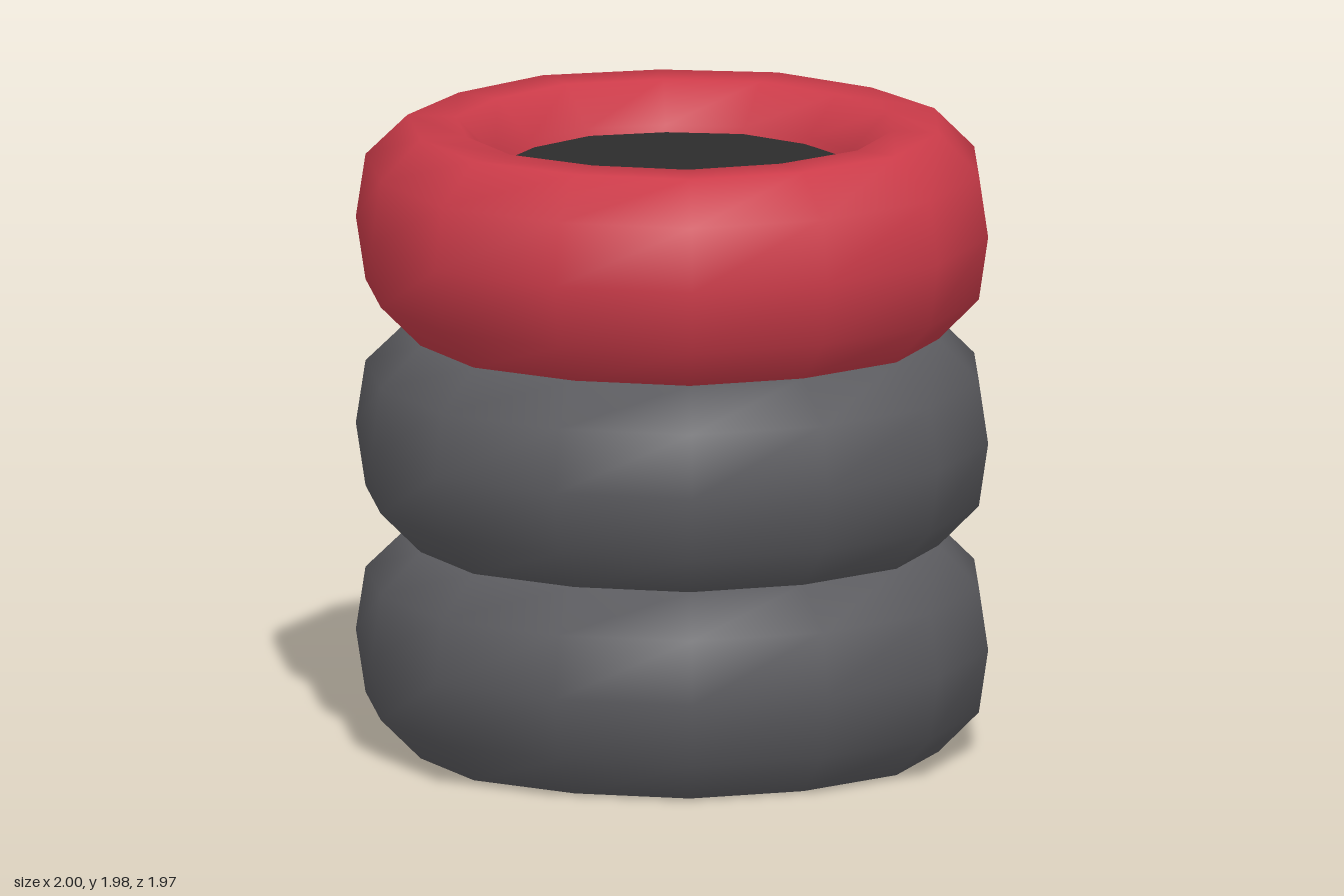
import * as THREE from 'three';

const TIER = 0.66;

// Slightly uneven 14-sided outline, half of it, from +x round to -x (x, z)
const half = [
  [0.996, 0], [0.88, 0.437], [0.612, 0.791], [0.206, 0.962],
  [-0.238, 0.984], [-0.628, 0.774], [-0.925, 0.438], [-1, 0],
];
const ring = [...half, ...half.slice(1, -1).reverse().map(([x, z]) => [x, -z])];

// Tyre section (radius, height): outer foot, tread, crest, inner wall; open below
const section = [
  [0.84, 0], [0.97, 0.13], [1, 0.33], [0.97, 0.53], [0.84, TIER],
  [0.69, TIER], [0.565, 0.54], [0.55, 0.33], [0.555, 0.1],
];

function tyreGeometry() {
  const pos = [], index = [], n = section.length;
  ring.forEach(([x, z], i) => {
    const next = (i + 1) % ring.length;
    section.forEach(([r, y], j) => {
      pos.push(x * r, y, z * r);
      if (j === n - 1) return;
      const a = i * n + j, b = next * n + j;
      index.push(a, a + 1, b, b, a + 1, b + 1);
    });
  });
  const geo = new THREE.BufferGeometry();
  geo.setAttribute('position', new THREE.Float32BufferAttribute(pos, 3));
  geo.setIndex(index);
  geo.computeVertexNormals();
  return geo;
}

function material(name, color) {
  const m = new THREE.MeshStandardMaterial({ color, side: THREE.DoubleSide });
  m.name = name;
  return m;
}

export function createModel() {
  const group = new THREE.Group();
  group.name = 'tyreStack';
  const rubber = material('grey rubber', 0x5b5b5f);
  const red = material('red paint', 0xcb3b49);
  const dark = material('dark filling', 0x2c2c2c);

  // Three stacked tyres, the top one painted
  const geo = tyreGeometry();
  [['bottomTyre', rubber], ['middleTyre', rubber], ['topTyre', red]].forEach(([name, mat], i) => {
    const tyre = new THREE.Mesh(geo, mat);
    tyre.name = name;
    tyre.position.y = i * TIER;
    group.add(tyre);
  });

  // Flat cover closing the hole of the top tyre
  const outline = new THREE.Shape(ring.map(([x, z]) => new THREE.Vector2(x * 0.55, z * 0.55)));
  const cover = new THREE.Mesh(new THREE.ShapeGeometry(outline), dark);
  cover.name = 'holeCover';
  cover.rotation.x = -Math.PI / 2;
  cover.position.y = 2 * TIER + 0.52;
  group.add(cover);

  return group;
}
